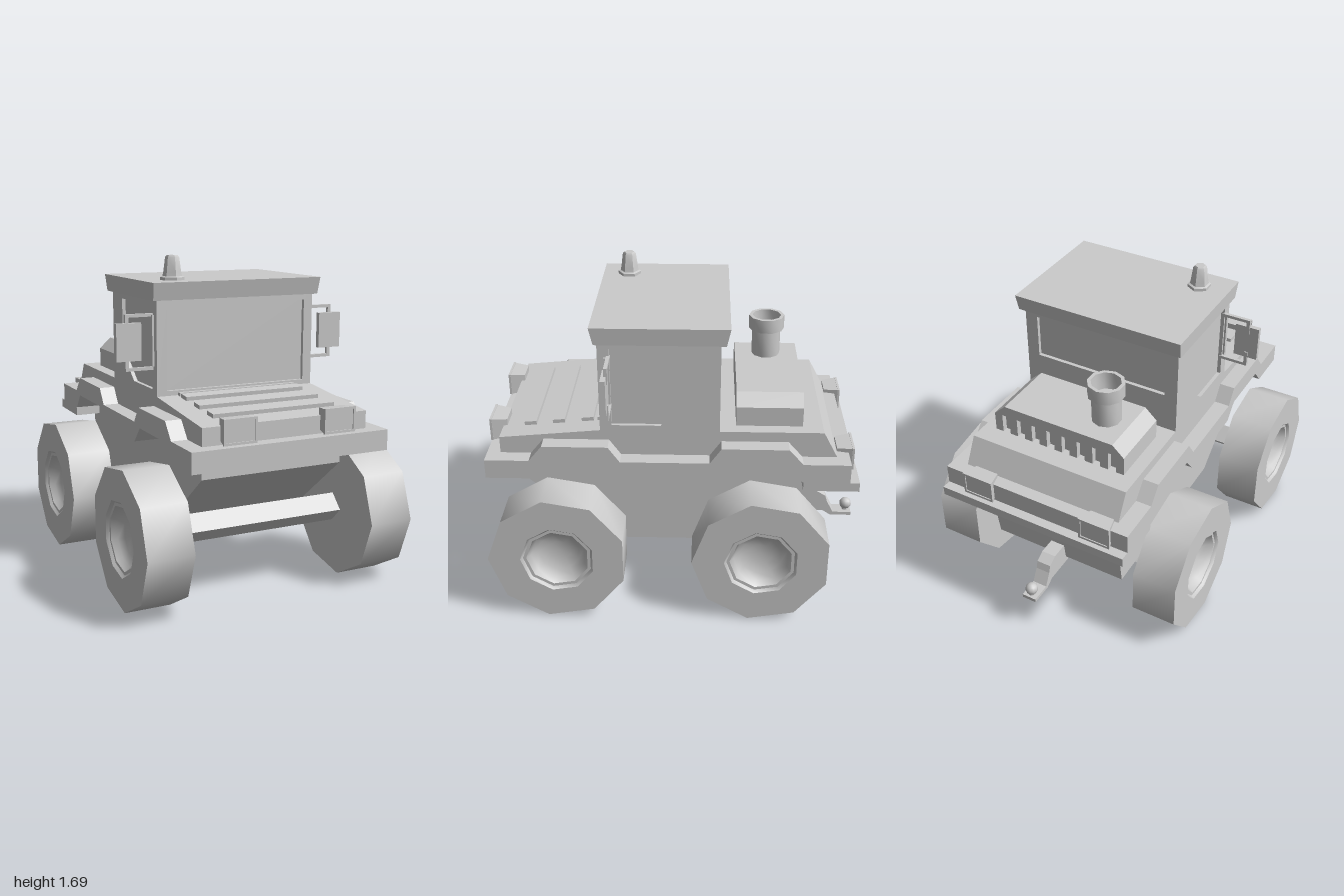
import * as THREE from 'three';
import { toCreasedNormals } from 'three/addons/utils/BufferGeometryUtils.js';

export function createModel() {
  const root = new THREE.Group();
  root.name = 'tractor';
  const mat = new THREE.MeshStandardMaterial({ color: 0xcccccc });
  const body = new THREE.Group();
  body.name = 'body';
  body.position.x = 0.02;
  root.add(body);

  const add = (name, geo, x = 0, y = 0, z = 0, parent = body) => {
    const m = new THREE.Mesh(geo, mat);
    m.name = name;
    m.position.set(x, y, z);
    parent.add(m);
    return m;
  };
  const box = (name, w, h, d, x, y, z) => add(name, new THREE.BoxGeometry(w, h, d), x, y, z);
  const shapeOf = (pts) => new THREE.Shape(pts.map((p) => new THREE.Vector2(p[0], p[1])));
  const rect = (a, b, c, d) => [[a, c], [b, c], [b, d], [a, d]];

  // Shape drawn in (z, y), extruded across x and centred there
  const across = (pts, w, hole) => {
    const s = shapeOf(pts);
    if (hole) s.holes.push(shapeOf(hole));
    const g = new THREE.ExtrudeGeometry(s, { depth: w, bevelEnabled: false });
    return g.rotateY(-Math.PI / 2).translate(w / 2, 0, 0);
  };
  // Panel drawn in (x, y) with a window, centred in z
  const panel = (pts, hole, t) => {
    const s = shapeOf(pts);
    s.holes.push(shapeOf(hole));
    return new THREE.ExtrudeGeometry(s, { depth: t, bevelEnabled: false }).translate(0, 0, -t / 2);
  };
  // Box whose top is scaled in x and z
  const frustum = (w, h, d, sx, sz) => {
    const g = new THREE.BoxGeometry(w, h, d);
    const p = g.attributes.position;
    for (let i = 0; i < p.count; i++) {
      if (p.getY(i) > 0) p.setXYZ(i, p.getX(i) * sx, p.getY(i), p.getZ(i) * sz);
    }
    g.computeVertexNormals();
    return g;
  };
  const lathe = (pts, sides, crease) =>
    toCreasedNormals(new THREE.LatheGeometry(pts.map((p) => new THREE.Vector2(p[0], p[1])), sides), crease);

  // Nine-sided wheels with dished hubs
  const wheelProfile = [[0.001, -0.12], [0.364, -0.12], [0.364, 0.12], [0.195, 0.12], [0.182, 0.105],
    [0.165, 0.105], [0.145, 0.075], [0.11, 0.05], [0.06, 0.035], [0.001, 0.03]];
  for (const [end, z] of [['front', 0.626], ['rear', -0.436]]) {
    for (const s of [1, -1]) {
      const g = lathe(wheelProfile, 9, 0.8).rotateZ(-s * Math.PI / 2);
      add(`${end}${s > 0 ? 'Left' : 'Right'}Wheel`, g, s * 0.61, 0.365, z, root);
    }
    // Diamond section axles
    const axle = new THREE.BoxGeometry(1.0, 0.106, 0.106).rotateX(Math.PI / 4);
    add(`${end}Axle`, axle, 0, end === 'front' ? 0.365 : 0.27, z, root);
  }

  // Hull
  add('hull', across([[0.8, 0.8], [0.8, 0.66], [0.35, 0.295], [-0.68, 0.295], [-0.745, 0.75], [-0.7, 0.9], [0.7, 0.9]], 0.78));

  // Fender band with a hump over each wheel
  add('fenderBand', across([
    [1.0, 0.755], [1.0, 0.86], [0.77, 0.86], [0.7, 0.945], [0.36, 0.945], [0.3, 0.86],
    [-0.16, 0.86], [-0.22, 0.945], [-0.565, 0.945], [-0.64, 0.86], [-0.885, 0.86],
    [-0.885, 0.755], [-0.64, 0.755], [-0.575, 0.84], [-0.235, 0.84], [-0.165, 0.755],
    [0.3, 0.755], [0.375, 0.84], [0.69, 0.84], [0.765, 0.755]], 1.07));
  box('rearBumper', 1.07, 0.05, 0.29, 0, 0.73, -0.79);

  // Hood and rear deck
  add('hood', across([[0.93, 0.84], [0.93, 0.95], [0.4, 1.0], [-0.745, 1.0], [-0.825, 0.85]], 0.9));
  for (const z of [0.48, 0.632, 0.782]) {
    const slat = box('hoodSlat', 0.675, 0.04, 0.064, 0, 1.0 - (z - 0.4) * 0.094, z);
    slat.rotation.x = 0.094;
  }

  // Lights flare outward from the body
  const light = (name, x, y, z, dir, h) => {
    const g = new THREE.Group();
    g.name = name;
    g.position.set(x, y, z);
    if (dir < 0) g.rotation.y = Math.PI;
    body.add(g);
    add('lampHousing', frustum(0.13, 0.085, h - 0.02, 1.33, 1.15).rotateX(Math.PI / 2), 0, 0, 0, g);
    const rim = panel(rect(-0.087, 0.087, -h / 2, h / 2), rect(-0.075, 0.075, -h / 2 + 0.012, h / 2 - 0.012), 0.012);
    add('lampRim', rim, 0, 0, 0.042, g);
  };
  for (const s of [1, -1]) {
    light('frontLight', s * 0.27 - 0.015, 0.933, 0.952, 1, 0.125);
    light('rearLight', s * 0.343 - 0.02, 0.825, -0.867, -1, 0.125);
  }

  // Cab: framed walls around recessed glass
  box('cabGlass', 0.86, 0.48, 0.575, 0, 1.24, 0.0975);
  const t = 0.04;
  const sideWindow = [[0.345, 1.03], [0.345, 1.455], [-0.07, 1.455], [-0.07, 1.165], [0.09, 1.03]];
  for (const s of [1, -1]) {
    add('cabSide', across(rect(-0.21, 0.405, 1.0, 1.49), t, sideWindow), s * (0.45 - t / 2));
    box('doorHandle', 0.02, 0.26, 0.015, s * 0.45, 1.28, 0.365);
  }
  const wall = rect(-0.45, 0.45, 1.0, 1.49);
  add('cabFront', panel(wall, rect(-0.395, 0.4, 1.025, 1.455), t), 0, 0, 0.405 - t / 2);
  add('cabRear', panel(wall, rect(-0.38, 0.38, 1.21, 1.45), t), 0, 0, -0.21 + t / 2);
  box('windshieldSill', 0.67, 0.02, 0.04, 0, 1.005, 0.41);
  add('roof', frustum(0.945, 0.09, 0.655, 1.012, 1.06), 0, 1.53, 0.092);

  // Beacon
  add('beacon', lathe([[0.062, 0], [0.062, 0.015], [0.05, 0.02], [0.046, 0.04], [0.036, 0.115], [0.028, 0.125], [0.001, 0.125]], 6, 0.5),
    -0.315, 1.575, 0.295);

  // Mirrors on thin brackets
  for (const s of [1, -1]) {
    for (const [y, stub] of [[1.41, -0.035], [1.14, 0.035]]) {
      box('mirrorArm', 0.16, 0.016, 0.018, s * 0.518, y, 0.35);
      box('mirrorPost', 0.018, 0.085, 0.018, s * 0.59, y + stub, 0.35);
    }
    box('mirror', 0.133, 0.19, 0.026, s * 0.585, 1.28, 0.36);
  }

  // Engine cover with rear cooling fins
  box('engineBase', 0.76, 0.11, 0.315, 0, 1.05, -0.4525);
  add('engineLid', frustum(0.76, 0.06, 0.345, 0.83, 1), 0, 1.135, -0.4675);
  for (let i = 0; i < 9; i++) box('coolingFin', 0.045, 0.11, 0.04, -0.3575 + i * 0.0894, 1.05, -0.62);

  // Hollow exhaust stack
  add('exhaust', lathe([[0.078, 0], [0.078, 0.15], [0.097, 0.15], [0.097, 0.225], [0.078, 0.225], [0.074, 0.13], [0.001, 0.13]], 10, 0.8),
    -0.185, 1.165, -0.466);

  // Tow hitch
  add('towHitch', across([[-0.66, 0.26], [-0.66, 0.39], [-0.785, 0.39], [-0.835, 0.36], [-0.848, 0.32], [-0.885, 0.25],
    [-0.99, 0.25], [-0.99, 0.23], [-0.87, 0.23], [-0.825, 0.26]], 0.08));
  add('towBallNeck', new THREE.CylinderGeometry(0.015, 0.02, 0.05, 8), 0, 0.262, -0.96);
  add('towBall', new THREE.SphereGeometry(0.034, 10, 8), 0, 0.288, -0.96);

  return root;
}
